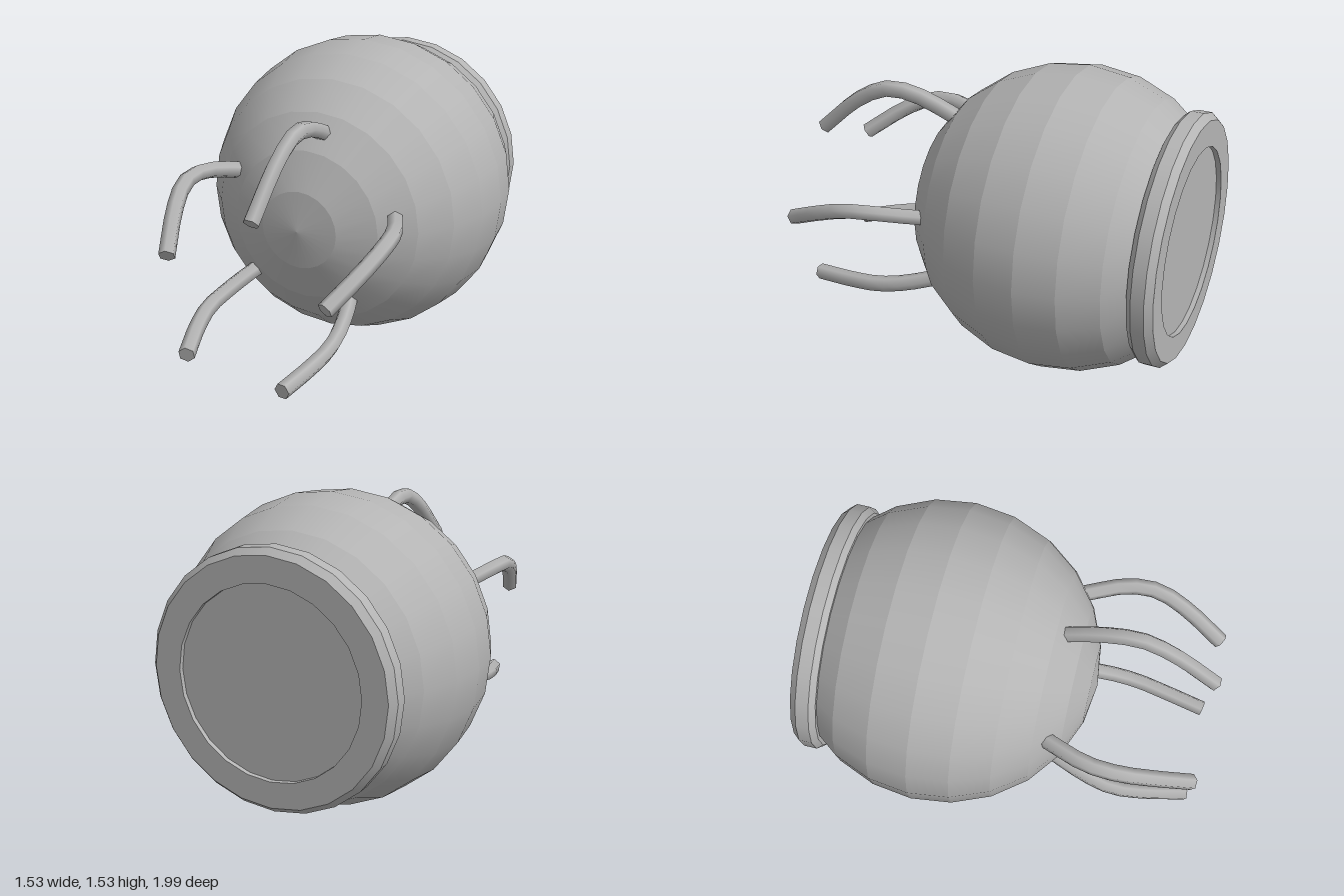
import * as THREE from 'three';
import { mergeGeometries } from 'three/addons/utils/BufferGeometryUtils.js';

const SIDES = 24;
const CENTRE_Y = 0.766;

// Lathe around the z axis; profile points are [radius, z].
// Each band is separate, so it is smooth around and creased between bands.
function bandedLathe(profile) {
  const bands = [];
  for (let i = 0; i < profile.length - 1; i++) {
    const pts = [profile[i], profile[i + 1]].map(([r, z]) => new THREE.Vector2(r, z));
    bands.push(new THREE.LatheGeometry(pts, SIDES));
  }
  return mergeGeometries(bands).rotateX(Math.PI / 2).translate(0, CENTRE_Y, 0);
}

// Flat cap over the last ring of a tube
function tubeCap(tube, centre, sides) {
  const pos = tube.attributes.position;
  const start = pos.count - (sides + 1);
  const corner = (i) => new THREE.Vector3().fromBufferAttribute(pos, start + i);
  const pts = [];
  for (let i = 0; i < sides; i++) pts.push(centre, corner(i + 1), corner(i));
  const cap = new THREE.BufferGeometry().setFromPoints(pts);
  cap.computeVertexNormals();
  return cap;
}

export function createModel() {
  const group = new THREE.Group();
  const grey = new THREE.MeshStandardMaterial({ color: 0xb4b4b4 });
  grey.name = 'grey';
  const add = (name, geometry, parent = group) => {
    const mesh = new THREE.Mesh(geometry, grey);
    mesh.name = name;
    parent.add(mesh);
  };

  // Round body, cut off at the back where the collar sits
  const body = [];
  for (let deg = -45; deg <= 90; deg += 15) {
    const a = THREE.MathUtils.degToRad(deg);
    body.push([Math.max(0, 0.764 * Math.cos(a)), -0.375 + 0.785 * Math.sin(a)]);
  }
  add('body', bandedLathe(body));

  // Chamfered collar with an open middle
  add('collar', bandedLathe([
    [0.47, -1], [0.6, -1], [0.63, -0.965], [0.63, -0.9], [0.605, -0.872],
    [0.47, -0.872], [0.47, -1],
  ]));

  // Slightly recessed plate closing the collar
  add('backPlate', new THREE.CircleGeometry(0.475, SIDES)
    .rotateY(Math.PI).translate(0, CENTRE_Y, -0.975));

  // Curved six-sided feelers, from the body to the tip
  const feelers = {
    topFeeler: [[0.05, 1.18, 0.15], [0.06, 1.24, 0.26], [0.07, 1.31, 0.45],
      [0.075, 1.315, 0.59], [0.07, 1.23, 0.75], [0.058, 1.025, 0.97]],
    upperRightFeeler: [[-0.36, 0.94, 0.15], [-0.42, 0.98, 0.28], [-0.485, 1.015, 0.45],
      [-0.495, 1.01, 0.6], [-0.46, 0.94, 0.76], [-0.385, 0.79, 0.97]],
    upperLeftFeeler: [[0.4, 0.84, 0.15], [0.45, 0.85, 0.26], [0.525, 0.868, 0.45],
      [0.54, 0.855, 0.6], [0.505, 0.79, 0.76], [0.42, 0.675, 0.97]],
    lowerLeftFeeler: [[0.18, 0.42, 0.16], [0.215, 0.37, 0.27], [0.25, 0.305, 0.46],
      [0.255, 0.27, 0.6], [0.235, 0.245, 0.76], [0.2, 0.222, 0.97]],
    lowerRightFeeler: [[-0.27, 0.48, 0.16], [-0.31, 0.455, 0.28], [-0.365, 0.405, 0.46],
      [-0.385, 0.375, 0.6], [-0.36, 0.345, 0.76], [-0.3, 0.3, 0.97]],
  };
  for (const [name, path] of Object.entries(feelers)) {
    const points = path.map((p) => new THREE.Vector3(...p));
    const curve = new THREE.CatmullRomCurve3(points);
    const tube = new THREE.TubeGeometry(curve, 10, 0.041, 6);
    const feeler = new THREE.Group();
    feeler.name = name;
    add('stalk', tube, feeler);
    add('tip', tubeCap(tube, points[points.length - 1], 6), feeler);
    group.add(feeler);
  }
  return group;
}
